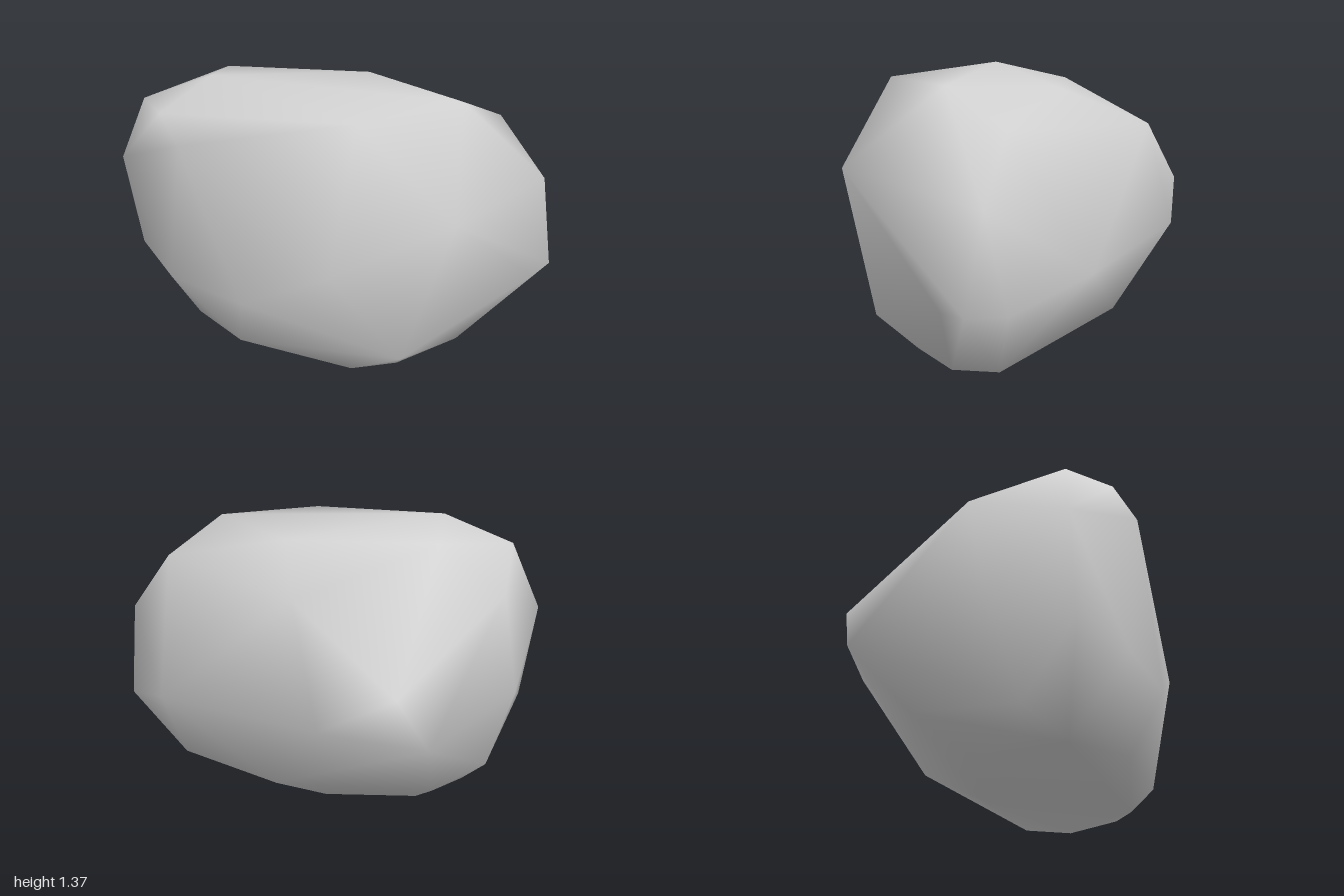
import * as THREE from 'three';
import { mergeVertices } from 'three/addons/utils/BufferGeometryUtils.js';
import { ConvexGeometry } from 'three/addons/geometries/ConvexGeometry.js';

// Corners of the boulder, grouped by region
const crown = [
  [-0.52, 1.37, 0.35], [0.30, 1.33, 0.51], [0.60, 1.32, 0.04], [0.01, 1.28, -0.25],
  [-0.66, 1.285, -0.01], [-0.84, 1.24, 0.45], [-0.63, 1.255, 0.61],
];
const front = [
  [-0.49, 1.15, 0.685], [0.24, 0.65, 0.66], [-0.20, 0.41, 0.70], [0.75, 0.95, 0.49],
  [0.52, 0.19, 0.49], [-0.63, 0.42, 0.65], [-0.97, 0.93, 0.50], [-0.90, 0.47, 0.50],
];
const sides = [
  [0.92, 0.86, -0.31], [1.00, 0.43, -0.26], [0.95, 0.42, -0.12], [0.88, 0.42, -0.40],
  [0.68, 1.15, -0.30], [-0.96, 1.08, 0.05], [-1.00, 0.60, 0.15], [-0.84, 0.16, 0.25],
  [-0.78, 0.21, -0.26],
];
const back = [
  [-0.44, 0.57, -0.70], [0.49, 0.53, -0.62], [-0.26, 1.10, -0.615], [-0.77, 0.75, -0.62],
  [-0.88, 0.52, -0.53], [-0.10, 0.18, -0.51],
];
const base = [
  [0.24, 0.00, 0.43], [0.43, 0.015, 0.31], [0.63, 0.03, 0.01], [0.66, 0.075, -0.25],
  [-0.18, 0.01, -0.19], [-0.60, 0.045, -0.04], [-0.73, 0.07, 0.22], [-0.67, 0.04, 0.39],
  [-0.31, 0.08, 0.56],
];

export function createModel() {
  const group = new THREE.Group();
  group.name = 'boulder';
  const stone = new THREE.MeshStandardMaterial({ color: 0xd2d2d2 });
  stone.name = 'pale grey stone';

  // Faceted hull with shared corners, so the shading runs smoothly across it
  const points = [...crown, ...front, ...sides, ...back, ...base].map((p) => new THREE.Vector3(...p));
  const hull = new ConvexGeometry(points);
  hull.deleteAttribute('normal');
  const geometry = mergeVertices(hull, 1e-4);
  geometry.computeVertexNormals();

  const rock = new THREE.Mesh(geometry, stone);
  rock.name = 'rock';
  group.add(rock);
  return group;
}
